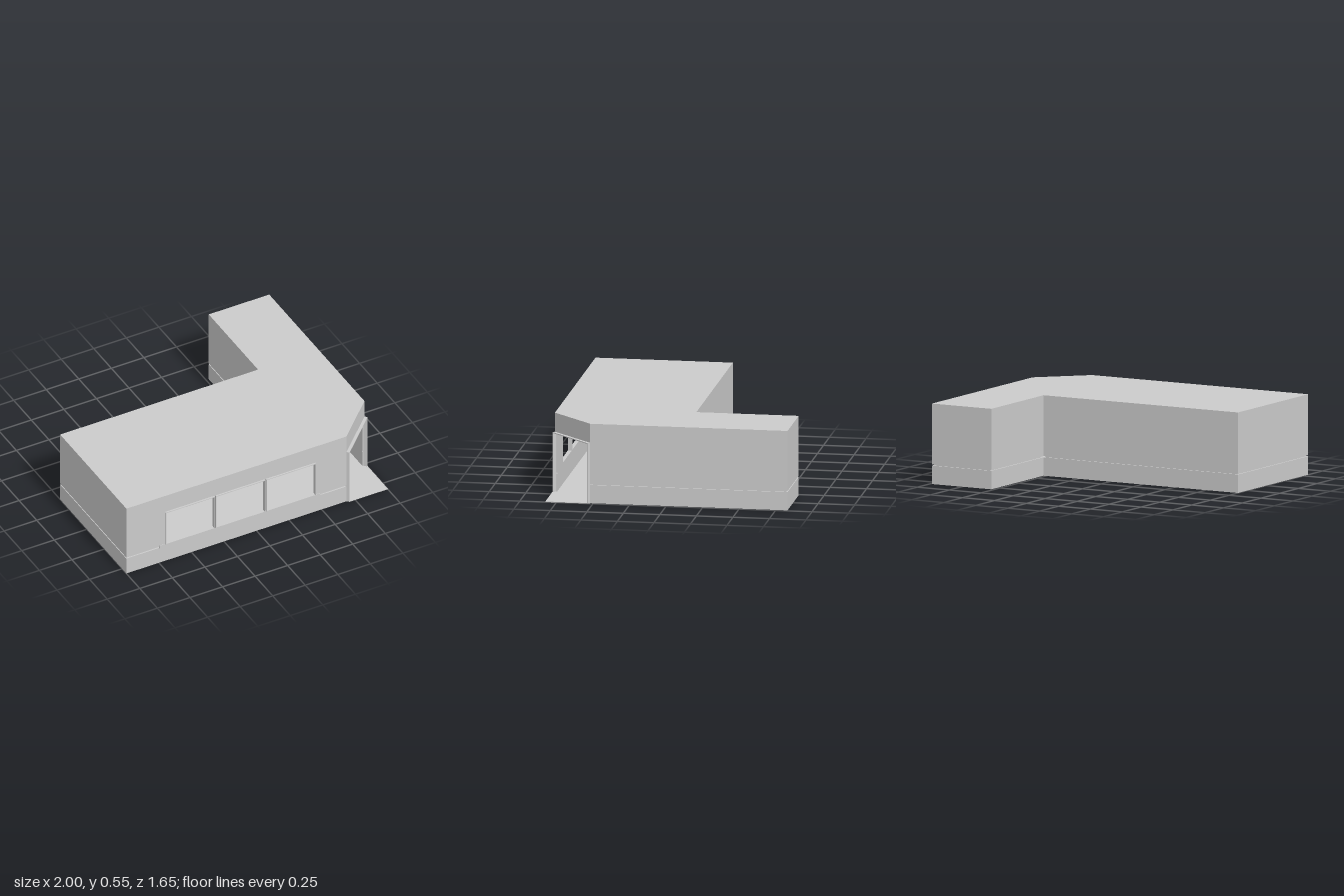
import * as THREE from 'three';

const mat = new THREE.MeshStandardMaterial({ color: 0xcccccc, flatShading: true, side: THREE.DoubleSide });

// Footprint corners (x, z), ordered so each wall's outward side is its local +z
const outline = [[-1, 0.81], [0.69, 0.81], [0.985, 0.52], [0.985, -0.83], [0.52, -0.83], [0.52, -0.13], [-1, -0.13]];
const HEIGHT = 0.55, THICK = 0.015;
const GROOVE = { y0: 0.126, y1: 0.134, depth: 0.01 };
const DOOR_TOP = 0.415;
const WINDOW = { w: 0.38, y0: 0.145, y1: 0.415, border: 0.005, centers: [-0.515, -0.128, 0.26] };

const rect = (Type, x0, y0, x1, y1) => new Type(
  [[x0, y0], [x1, y0], [x1, y1], [x0, y1]].map(([x, y]) => new THREE.Vector2(x, y)));

// Extruded plate whose outer face lies at local z = front
function plate(name, shape, depth, front) {
  const geo = new THREE.ExtrudeGeometry(shape, { depth, bevelEnabled: false });
  geo.translate(0, 0, front - depth);
  const mesh = new THREE.Mesh(geo, mat);
  mesh.name = name;
  return mesh;
}

// Horizontal slab from an x/z polygon
function slab(name, points, top, depth) {
  const shape = new THREE.Shape(points.map(([x, z]) => new THREE.Vector2(x, z)));
  const geo = new THREE.ExtrudeGeometry(shape, { depth, bevelEnabled: false });
  geo.rotateX(Math.PI / 2);
  geo.translate(0, top, 0);
  const mesh = new THREE.Mesh(geo, mat);
  mesh.name = name;
  return mesh;
}

// Group placed along a footprint edge: local x runs along it, local z points outward
function edgeGroup(name, [ax, az], [bx, bz]) {
  const g = new THREE.Group();
  g.name = name;
  g.position.set(ax, 0, az);
  g.rotation.y = Math.atan2(az - bz, bx - ax);
  return { g, len: Math.hypot(bx - ax, bz - az) };
}

export function createModel() {
  const model = new THREE.Group();
  model.name = 'cornerBuilding';

  // Roof, and floor that runs out past the cut corner
  model.add(slab('roof', outline, HEIGHT, 0.01));
  const floor = [outline[0], [0.69, 0.81], [0.705, 0.825], [1, 0.825], [1, 0.535], ...outline.slice(2)];
  model.add(slab('floor', floor, 0.004, 0.004));

  const names = ['frontWall', 'cornerWall', 'leftWall', 'wingBackWall', 'wingInnerWall', 'backWall', 'rightWall'];
  outline.forEach((a, i) => {
    const { g, len } = edgeGroup(names[i], a, outline[(i + 1) % outline.length]);
    model.add(g);

    if (i === 1) {
      // Wall above the corner doorway, and a projecting frame round the opening
      g.add(plate('doorHeader', rect(THREE.Shape, 0, DOOR_TOP, len, HEIGHT), THICK, 0));
      const b = 0.006, top = DOOR_TOP + 0.003;
      const frame = new THREE.Shape([[0, 0], [b, 0], [b, top - b], [len - b, top - b], [len - b, 0],
        [len, 0], [len, top], [0, top]].map(([x, y]) => new THREE.Vector2(x, y)));
      g.add(plate('doorFrame', frame, 0.021 + THICK, 0.021));
      return;
    }

    // Plinth, recessed groove and upper wall
    g.add(plate('plinth', rect(THREE.Shape, 0, 0, len, GROOVE.y0), THICK, 0));
    g.add(plate('groove', rect(THREE.Shape, GROOVE.depth, GROOVE.y0, len - GROOVE.depth, GROOVE.y1),
      THICK - GROOVE.depth, -GROOVE.depth));
    const upper = rect(THREE.Shape, 0, GROOVE.y1, len, HEIGHT);

    if (i === 0) {
      // Three open windows with thin projecting frames over one long sill
      for (const c of WINDOW.centers) {
        const x0 = c - a[0] * 1 - WINDOW.w / 2, x1 = x0 + WINDOW.w, b = WINDOW.border;
        const inner = [x0 + b, WINDOW.y0 + b, x1 - b, WINDOW.y1 - b];
        upper.holes.push(rect(THREE.Path, ...inner));
        const frame = rect(THREE.Shape, x0, WINDOW.y0, x1, WINDOW.y1);
        frame.holes.push(rect(THREE.Path, ...inner));
        g.add(plate('windowFrame', frame, 0.012 + THICK, 0.012));
      }
      g.add(plate('windowSill', rect(THREE.Shape, 0.255, 0.12, 1.49, 0.145), THICK, 0.003));
    }
    g.add(plate('upperWall', upper, THICK, 0));
  });

  return model;
}
